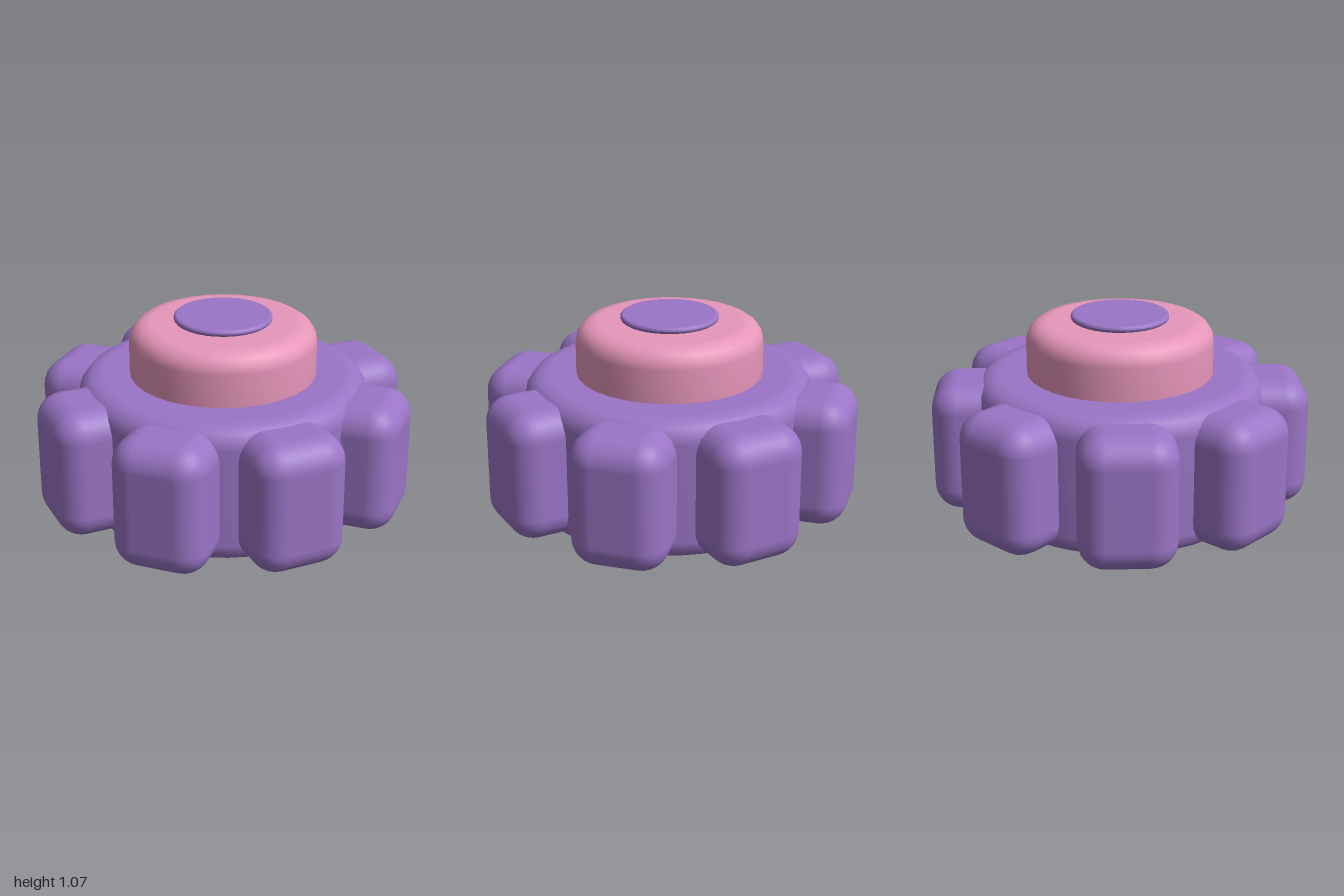
import * as THREE from 'three';
import { RoundedBoxGeometry } from 'three/addons/geometries/RoundedBoxGeometry.js';

const purple = new THREE.MeshStandardMaterial({ color: 0x9a75c6 });
purple.name = 'purple';
const pink = new THREE.MeshStandardMaterial({ color: 0xe696ba });
pink.name = 'pink';

// Solid disc with rounded rims, turned from a profile
function roundedDisc(name, radius, bottom, top, bevel, material, sides) {
  const steps = 4;
  const profile = [new THREE.Vector2(0, bottom)];
  for (const [y, start] of [[bottom + bevel, -Math.PI / 2], [top - bevel, 0]]) {
    for (let i = 0; i <= steps; i++) {
      const a = start + (i / steps) * Math.PI / 2;
      profile.push(new THREE.Vector2(radius - bevel + Math.cos(a) * bevel, y + Math.sin(a) * bevel));
    }
    // extra ring just inside the rim keeps the flat faces shaded flat
    const inner = new THREE.Vector2((radius - bevel) * 0.97, start < 0 ? bottom : top);
    if (start < 0) profile.splice(1, 0, inner);
    else profile.push(inner);
  }
  profile.push(new THREE.Vector2(0, top));
  const mesh = new THREE.Mesh(new THREE.LatheGeometry(profile, sides), material);
  mesh.name = name;
  return mesh;
}

export function createModel() {
  const model = new THREE.Group();
  model.name = 'gearKnob';

  // Stacked round parts
  model.add(roundedDisc('gearBody', 0.77, 0, 0.752, 0.11, purple, 48));
  model.add(roundedDisc('hub', 0.497, 0.6, 1.028, 0.1, pink, 32));
  model.add(roundedDisc('cap', 0.26, 1.036, 1.07, 0.017, purple, 32));

  // Eight rounded teeth around the body
  const toothGeometry = new RoundedBoxGeometry(0.5, 0.7, 0.6, 4, 0.14);
  toothGeometry.translate(0, 0.376, 0.7);
  for (let i = 0; i < 8; i++) {
    const tooth = new THREE.Mesh(toothGeometry, purple);
    tooth.name = `tooth${i + 1}`;
    tooth.rotation.y = (i * Math.PI) / 4;
    model.add(tooth);
  }
  return model;
}
